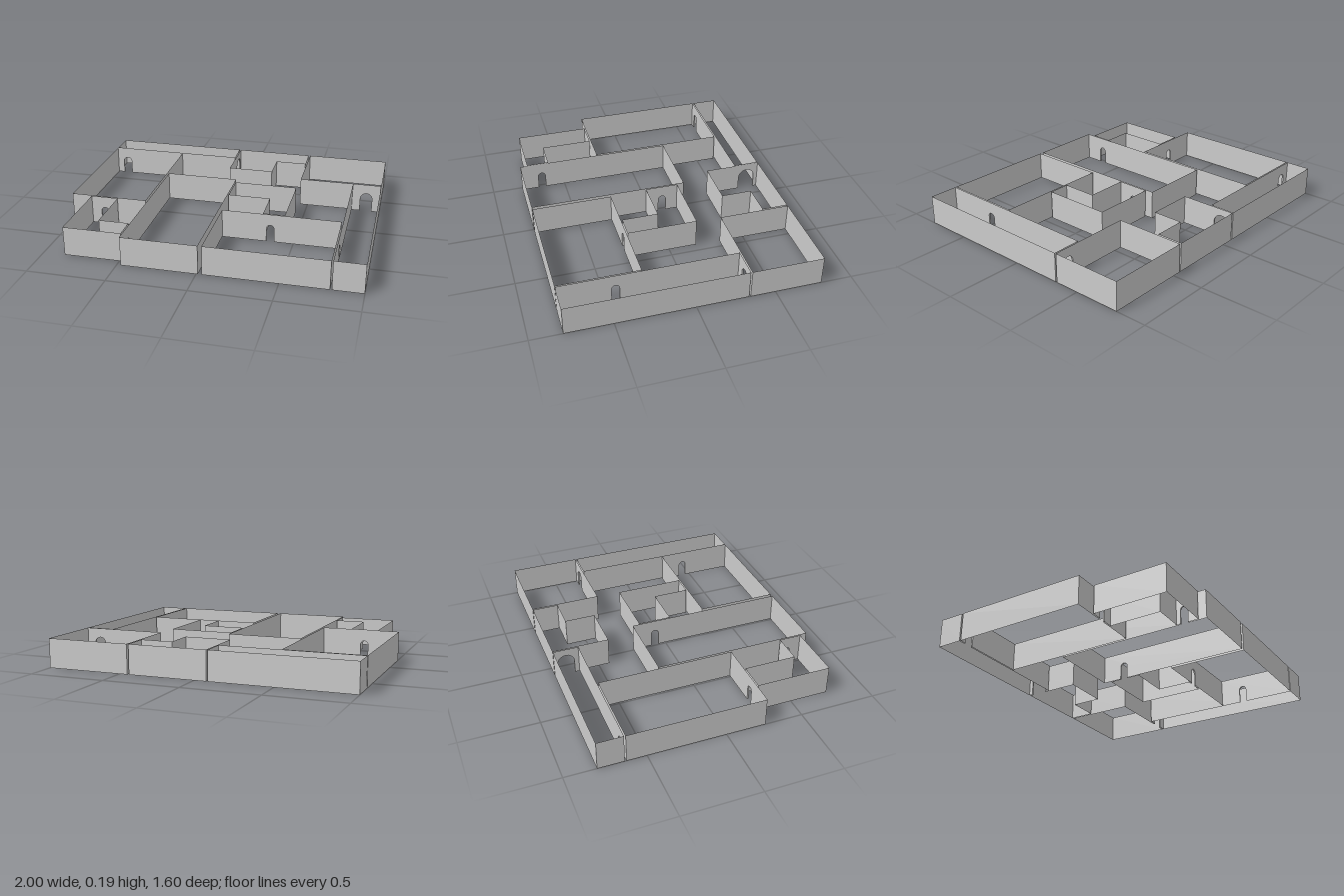
import * as THREE from 'three';

const H = 0.19;       // wall height
const SPRING = 0.09;  // height where the door arch starts
const GAP = 0.01;     // gap between the walls of neighbouring rooms
const ARCH_STEPS = 10;

// Floor outlines of the rooms as [x, z] corners
const rect = (x0, z0, x1, z1) => [[x0, z0], [x1, z0], [x1, z1], [x0, z1]];
const ROOMS = {
  backCorridor: rect(-1, -0.8, -0.09, -0.635),
  backRoom: [[-0.08, -0.8], [0.435, -0.8], [0.435, -0.63], [0.225, -0.63], [0.225, -0.43], [-0.08, -0.43]],
  backLeftRoom: rect(0.447, -0.8, 1, -0.34),
  leftCorridor: rect(0.81, -0.33, 1, 0.8),
  frontLeftRoom: rect(0.035, 0.28, 0.8, 0.8),
  centreHall: [[0.02, -0.18], [0.44, -0.18], [0.44, 0.27], [0.3, 0.27], [0.3, 0.035], [0.02, 0.035]],
  middleRoom: rect(-0.475, -0.23, 0.01, 0.8),
  frontRightPassage: [[-0.86, 0.265], [-0.68, 0.265], [-0.68, 0.605], [-0.485, 0.605], [-0.485, 0.75], [-0.86, 0.75]],
  rightRoom: rect(-1, -0.625, -0.49, 0.255),
};

// Doorways: direction of their wall, its line, the middle along it, the width
const DOORS = [
  { along: 'x', line: -0.63, mid: -0.925, w: 0.06 },
  { along: 'z', line: -0.085, mid: -0.72, w: 0.11 },
  { along: 'x', line: -0.335, mid: 0.905, w: 0.08 },
  { along: 'z', line: 0.015, mid: -0.075, w: 0.05 },
  { along: 'x', line: 0.26, mid: -0.77, w: 0.05 },
  { along: 'x', line: 0.275, mid: 0.35, w: 0.05 },
  { along: 'z', line: 0.805, mid: 0.443, w: 0.05 },
  { along: 'z', line: -0.48, mid: 0.657, w: 0.05 },
];

// Door outline from one foot over a round arch to the other foot
function archPoints(door) {
  const r = door.w / 2;
  const pts = [[door.mid - r, 0]];
  for (let i = 0; i <= ARCH_STEPS; i++) {
    const t = Math.PI * (1 - i / ARCH_STEPS);
    pts.push([door.mid + r * Math.cos(t), SPRING + r * Math.sin(t)]);
  }
  pts.push([door.mid + r, 0]);
  return pts;
}

// Turns a sheet drawn in (distance, height, offset) into its place on the plan
function place(geometry, along, line) {
  const p = geometry.attributes.position;
  for (let i = 0; i < p.count; i++) {
    const d = p.getX(i), y = p.getY(i), o = line + p.getZ(i);
    if (along === 'x') p.setXYZ(i, d, y, o);
    else p.setXYZ(i, o, y, d);
  }
  geometry.computeVertexNormals();
  return geometry;
}

// One thin wall, with any doorway that lies on it cut out
function wallGeometry(a, b) {
  const along = a[1] === b[1] ? 'x' : 'z';
  const k = along === 'x' ? 0 : 1;
  const line = a[1 - k];
  const from = Math.min(a[k], b[k]), to = Math.max(a[k], b[k]);
  const shape = new THREE.Shape();
  shape.moveTo(from, 0);
  DOORS.filter((d) => d.along === along && Math.abs(d.line - line) < 0.009 && d.mid > from && d.mid < to)
    .forEach((d) => archPoints(d).forEach(([s, y]) => shape.lineTo(s, y)));
  shape.lineTo(to, 0);
  shape.lineTo(to, H);
  shape.lineTo(from, H);
  shape.closePath();
  return place(new THREE.ShapeGeometry(shape), along, line);
}

// Lining that joins the two walls around a doorway
function liningGeometry(door) {
  const pts = archPoints(door);
  const geometry = new THREE.PlaneGeometry(1, 1, pts.length - 1, 1);
  const p = geometry.attributes.position;
  for (let i = 0; i < p.count; i++) {
    const [s, y] = pts[i % pts.length];
    p.setXYZ(i, s, y, i < pts.length ? GAP / 2 : -GAP / 2);
  }
  return place(geometry, door.along, door.line);
}

export function createModel() {
  const model = new THREE.Group();
  model.name = 'floorPlan';
  const material = new THREE.MeshStandardMaterial({ color: 0xcccccc, side: THREE.DoubleSide });

  // Rooms
  for (const [name, corners] of Object.entries(ROOMS)) {
    const room = new THREE.Group();
    room.name = name;
    corners.forEach((corner, i) => {
      const wall = new THREE.Mesh(wallGeometry(corner, corners[(i + 1) % corners.length]), material);
      wall.name = 'wall';
      room.add(wall);
    });
    model.add(room);
  }

  // Doorways
  for (const door of DOORS) {
    const lining = new THREE.Mesh(liningGeometry(door), material);
    lining.name = 'doorLining';
    model.add(lining);
  }
  return model;
}
